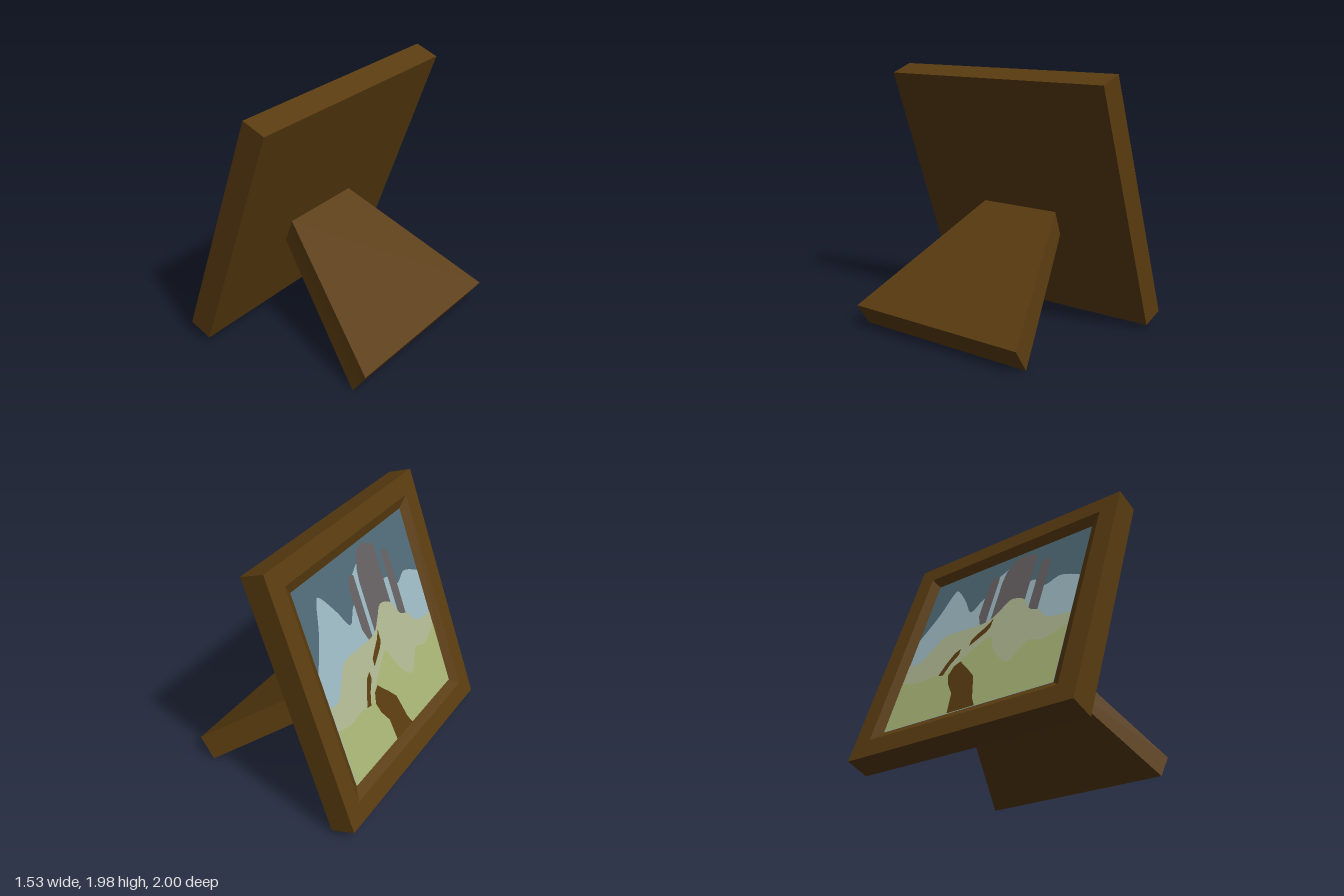
import * as THREE from 'three';

const mat = (name, color) => {
  const m = new THREE.MeshStandardMaterial({ color });
  m.name = name;
  return m;
};

export function createModel() {
  const wood = mat('brown wood', 0x5a3c10);
  const sky = mat('dark blue sky', 0x4e6975);
  const mist = mat('pale blue mountain', 0x9ab6c0);
  const stone = mat('grey stone', 0x645f61);
  const sage = mat('sage hill', 0xacb590);
  const olive = mat('olive meadow', 0xa7b375);

  const model = new THREE.Group();
  model.name = 'standingPicture';
  const add = (parent, name, geometry, material) => {
    const mesh = new THREE.Mesh(geometry, material);
    mesh.name = name;
    parent.add(mesh);
    return mesh;
  };

  // Leaning picture: local z points out of the painting, which faces -x
  const picture = new THREE.Group();
  picture.name = 'picture';
  picture.rotation.set(THREE.MathUtils.degToRad(-20), -Math.PI / 2, 0, 'YXZ');
  picture.position.set(-0.425, 1.0425, 0);
  model.add(picture);

  // Frame: square four-sided lathe with a bevelled shallow recess
  const T = 0.196, D = 0.045, W = 0.765;
  const profile = [[0, -T], [1, -T], [1, 0], [0.845, 0], [W, -D], [0, -D]]
    .map(([r, y]) => new THREE.Vector2(r * Math.SQRT2, y));
  let frame = new THREE.LatheGeometry(profile, 4, Math.PI / 4).toNonIndexed();
  frame.rotateX(Math.PI / 2);
  frame.computeVertexNormals();
  add(picture, 'frame', frame, wood);

  // Painting: thin stacked layers, each a little in front of the last
  let layer = 0;
  const paint = (name, shapes, material) => {
    layer += 1;
    const mesh = add(picture, name, new THREE.ShapeGeometry(shapes, 6), material);
    mesh.position.z = -D + layer * 0.0015;
  };
  const vec = (pts) => pts.map(([x, y]) => new THREE.Vector2(x, y));
  const poly = (pts) => new THREE.Shape(vec(pts));
  // Area from a skyline down to the bottom edge of the painting
  const ridge = (pts) => {
    const line = new THREE.SplineCurve(vec(pts)).getPoints(48);
    line.forEach((p) => { p.x = THREE.MathUtils.clamp(p.x, -W, W); });
    return new THREE.Shape([new THREE.Vector2(-W, -W), ...line, new THREE.Vector2(W, -W)].reverse());
  };

  paint('sky', poly([[-W, -W], [W, -W], [W, W], [-W, W]]), sky);
  paint('mountains', [
    ridge([[-W, 0.15], [-0.69, 0.27], [-0.62, 0.4], [-0.55, 0.58], [-0.5, 0.6], [-0.37, 0.43],
      [-0.265, 0.27], [-0.16, 0.38], [0, 0.36], [0.2, 0.36], [0.33, 0.38], [0.44, 0.27], [0.58, 0.32], [W, 0.24]]),
    poly([[-0.07, 0.3], [0.03, 0.3], [0.03, 0.64], [-0.02, 0.61], [-0.07, 0.58]]),
  ], mist);
  paint('towers', [
    poly([[-0.1, 0.04], [-0.06, 0.04], [-0.06, 0.57], [-0.1, 0.59], [-0.14, 0.56], [-0.155, 0.5], [-0.155, 0.18]]),
    poly([[-0.015, 0.05], [0.285, 0.05], [0.285, 0.68], [0.2, 0.71], [0.15, 0.74], [0.06, 0.71], [0, 0.6], [-0.015, 0.5]]),
    poly([[0.345, 0], [0.44, 0], [0.44, 0.52], [0.42, 0.58], [0.36, 0.58], [0.345, 0.52]]),
  ], stone);
  paint('farHills', ridge([[-W, -0.12], [-0.66, -0.13], [-0.56, -0.02], [-0.46, 0.08], [-0.25, 0.08], [-0.04, 0.08],
    [0.06, 0.16], [0.146, 0.24], [0.28, 0.19], [0.36, 0.06], [0.46, 0.01], [0.56, -0.1], [W, -0.13]]), sage);
  paint('meadow', ridge([[-W, -0.31], [-0.6, -0.35], [-0.44, -0.335], [-0.35, -0.36], [-0.26, -0.3], [-0.19, -0.25],
    [-0.08, -0.17], [0.04, -0.1], [0.12, -0.26], [0.28, -0.43], [0.38, -0.34], [0.45, -0.28], [0.58, -0.32], [W, -0.24]]), olive);
  paint('windingPath', [
    poly([[-0.15, -W], [0.1, -W], [0.06, -0.69], [0, -0.47], [-0.08, -0.38], [-0.14, -0.32], [-0.185, -0.27],
      [-0.24, -0.3], [-0.27, -0.38], [-0.24, -0.47], [-0.17, -0.58]]),
    poly([[-0.38, -0.35], [-0.33, -0.36], [-0.29, -0.27], [-0.23, -0.19], [-0.23, -0.13], [-0.28, -0.16], [-0.33, -0.24]]),
    poly([[-0.15, -0.13], [-0.08, -0.085], [-0.015, -0.04], [0.015, 0], [0.02, 0.085], [-0.03, 0.025], [-0.09, -0.02], [-0.145, -0.07]]),
  ], wood);

  // Rear leg: a box whose corners are moved to a flared, sloping slab
  const leg = new THREE.BoxGeometry(1, 1, 1);
  const pos = leg.attributes.position;
  for (let i = 0; i < pos.count; i++) {
    const foot = pos.getX(i) > 0, top = pos.getY(i) > 0, side = Math.sign(pos.getZ(i));
    const [x, y] = foot ? (top ? [0.765, 0.17] : [0.65, 0]) : (top ? [-0.27, 0.89] : [-0.34, 0.7]);
    pos.setXYZ(i, x, y, side * (foot ? 0.78 : 0.35));
  }
  leg.computeVertexNormals();
  add(model, 'rearLeg', leg, wood);

  return model;
}
